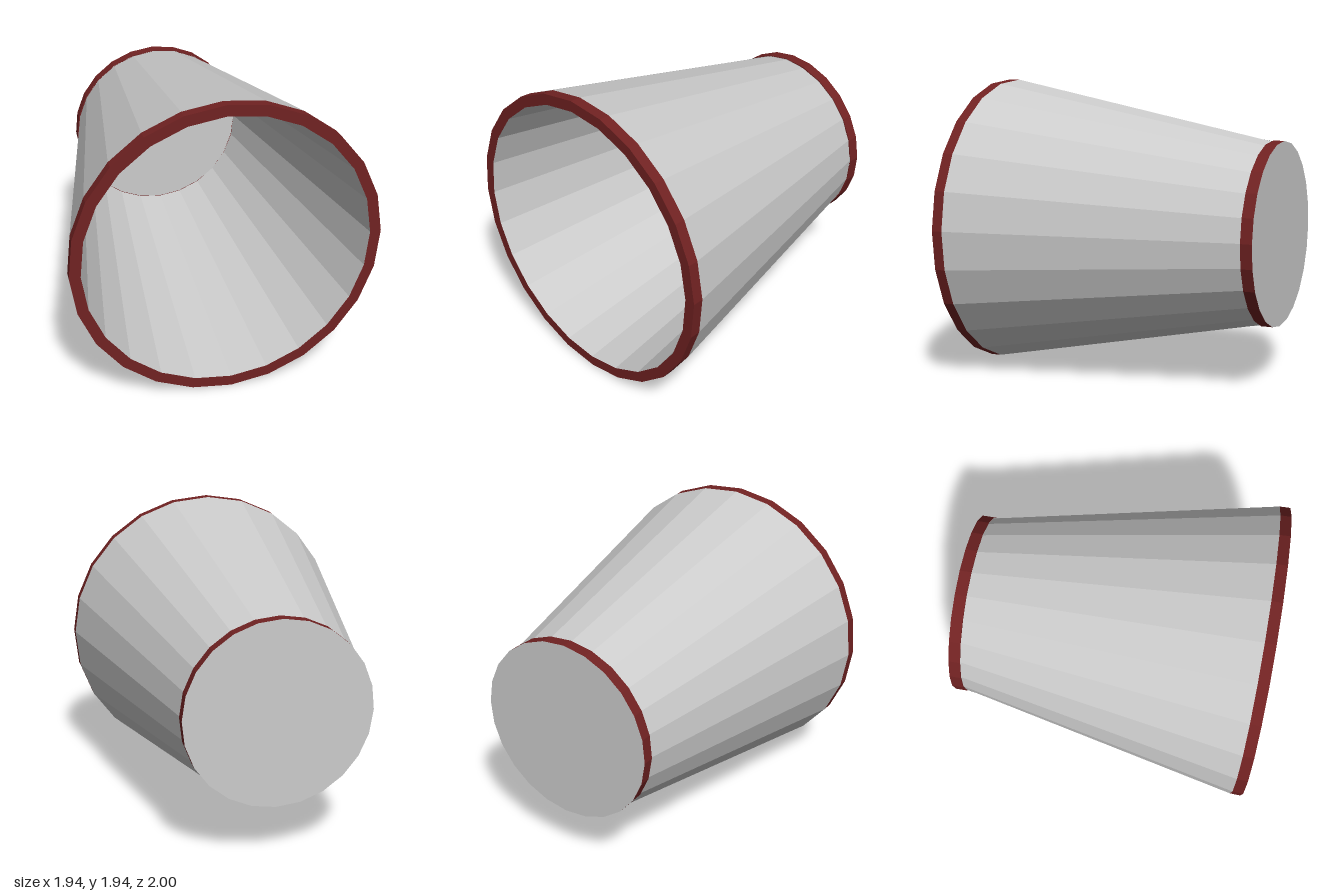
import * as THREE from 'three';

const SIDES = 24;
const TWIST = THREE.MathUtils.degToRad(1.7);
const CENTER_Y = 0.97;

const grey = new THREE.MeshStandardMaterial({ color: 0xcccccc, flatShading: true });
const red = new THREE.MeshStandardMaterial({ color: 0x712222, flatShading: true });

// Turns a [radius, z] profile about the z axis; outer faces need rising z
function turned(name, profile, material) {
  const points = profile.map(([r, z]) => new THREE.Vector2(r, z));
  const geometry = new THREE.LatheGeometry(points, SIDES).toNonIndexed();
  geometry.rotateX(Math.PI / 2);
  geometry.rotateZ(TWIST);
  geometry.computeVertexNormals();
  const mesh = new THREE.Mesh(geometry, material);
  mesh.name = name;
  return mesh;
}

// Flat round plate facing the front, or the back when flipped
function plate(name, radius, z, flipped) {
  const geometry = new THREE.CircleGeometry(radius, SIDES);
  if (flipped) geometry.rotateX(Math.PI);
  geometry.rotateZ(TWIST);
  geometry.translate(0, 0, z);
  const mesh = new THREE.Mesh(geometry, grey);
  mesh.name = name;
  return mesh;
}

export function createModel() {
  const model = new THREE.Group();
  model.name = 'taperedBucket';

  model.add(
    // Coloured bands: the wide mouth rim and the narrow base
    turned('mouthRim', [[0.968, 0.93], [0.97, 1], [0.9, 1]], red),
    turned('baseBand', [[0.595, -1], [0.595, -0.925], [0.587, -0.925]], red),
    // Tapered wall, outside and inside
    turned('outerWall', [[0.587, -0.925], [0.968, 0.93]], grey),
    turned('innerWall', [[0.9, 1], [0.59, -0.925]], grey),
    // Closed narrow end
    plate('innerFloor', 0.59, -0.925, false),
    plate('basePlate', 0.595, -1, true)
  );

  model.position.y = CENTER_Y;
  const root = new THREE.Group();
  root.name = 'bucket';
  root.add(model);
  return root;
}
